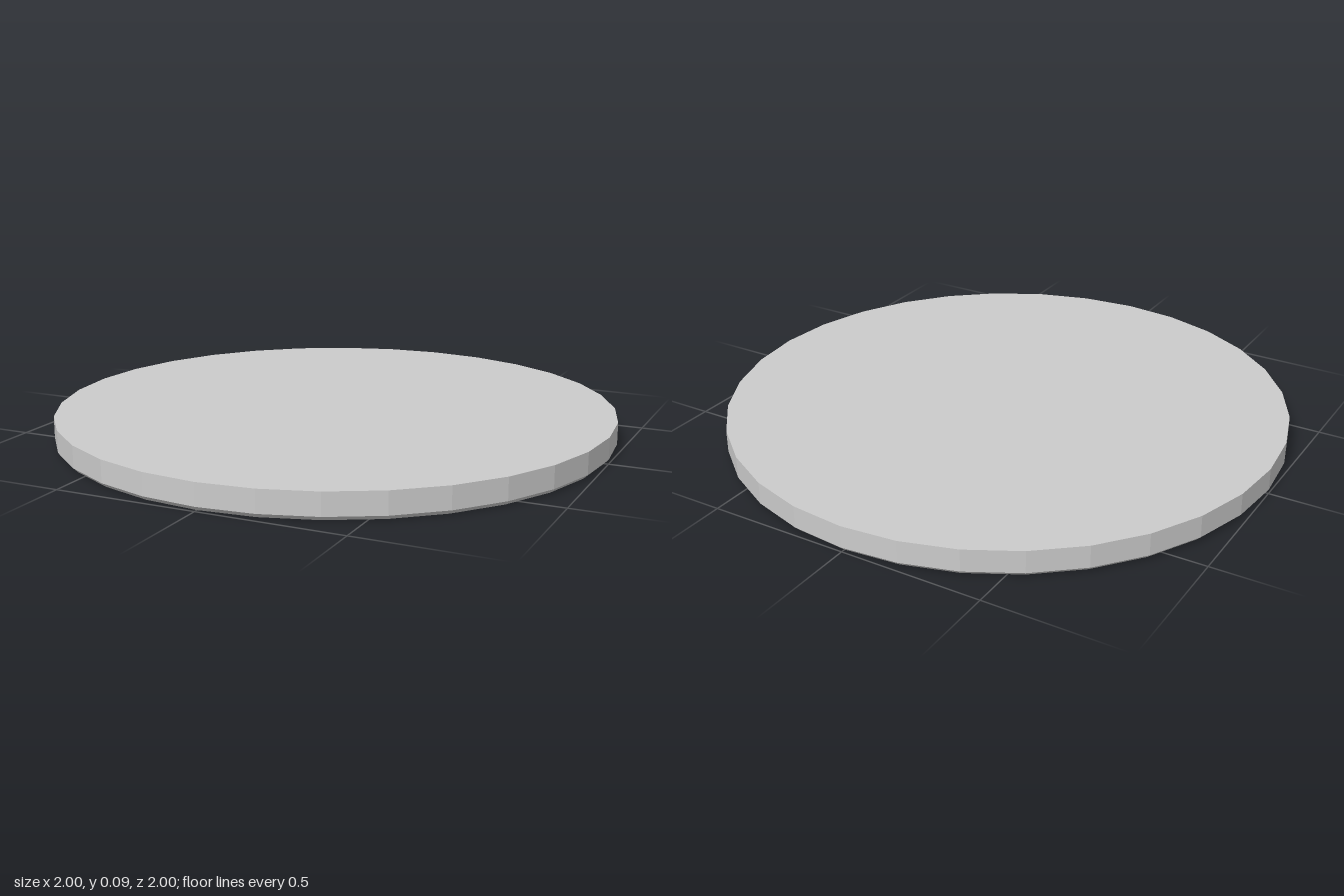
import * as THREE from 'three';

const material = new THREE.MeshStandardMaterial({ color: 0xcccccc, flatShading: true });

function addMesh(parent, name, geometry) {
  const mesh = new THREE.Mesh(geometry, material);
  mesh.name = name;
  parent.add(mesh);
  return mesh;
}

// Tapered flat hand pointing to -z, turned by degrees about the hub
function addHand(parent, name, length, width, y, degrees) {
  const w = width / 2;
  const shape = new THREE.Shape([
    new THREE.Vector2(-w, -0.03),
    new THREE.Vector2(w, -0.03),
    new THREE.Vector2(w * 0.45, length * 0.96),
    new THREE.Vector2(0, length),
    new THREE.Vector2(-w * 0.45, length * 0.96),
  ]);
  const geometry = new THREE.ExtrudeGeometry(shape, { depth: 0.004, bevelEnabled: false });
  geometry.rotateX(-Math.PI / 2);
  const hand = addMesh(parent, name, geometry);
  hand.position.y = y;
  hand.rotation.y = THREE.MathUtils.degToRad(degrees);
}

export function createModel() {
  const clock = new THREE.Group();
  clock.name = 'wallClock';

  // Case lying face down: recessed dial, sloped inner lip, chamfered rim, flat back
  const profile = [
    [0, 0.04], [0.895, 0.04], [0.91, 0.02], [0.92, 0],
    [0.985, 0], [1, 0.015], [1, 0.093], [0, 0.093],
  ].map(([r, y]) => new THREE.Vector2(r, y));
  addMesh(clock, 'case', new THREE.LatheGeometry(profile, 32));

  // Sixty raised marks, every fifth one longer and wider
  const marks = new THREE.Group();
  marks.name = 'dialMarks';
  clock.add(marks);
  const outer = 0.87;
  for (let i = 0; i < 60; i++) {
    const isHour = i % 5 === 0;
    const length = isHour ? 0.17 : 0.105;
    const geometry = new THREE.BoxGeometry(isHour ? 0.032 : 0.018, 0.017, length);
    geometry.translate(0, 0.0335, -(outer - length / 2));
    const mark = addMesh(marks, isHour ? 'hourMark' : 'minuteMark', geometry);
    mark.rotation.y = (i / 60) * Math.PI * 2;
  }

  // Hands and hub
  addHand(clock, 'hourHand', 0.4, 0.024, 0.022, -123);
  addHand(clock, 'minuteHand', 0.79, 0.024, 0.016, -165);
  const hub = addMesh(clock, 'hub', new THREE.CylinderGeometry(0.042, 0.036, 0.028, 16));
  hub.position.y = 0.027;

  return clock;
}
